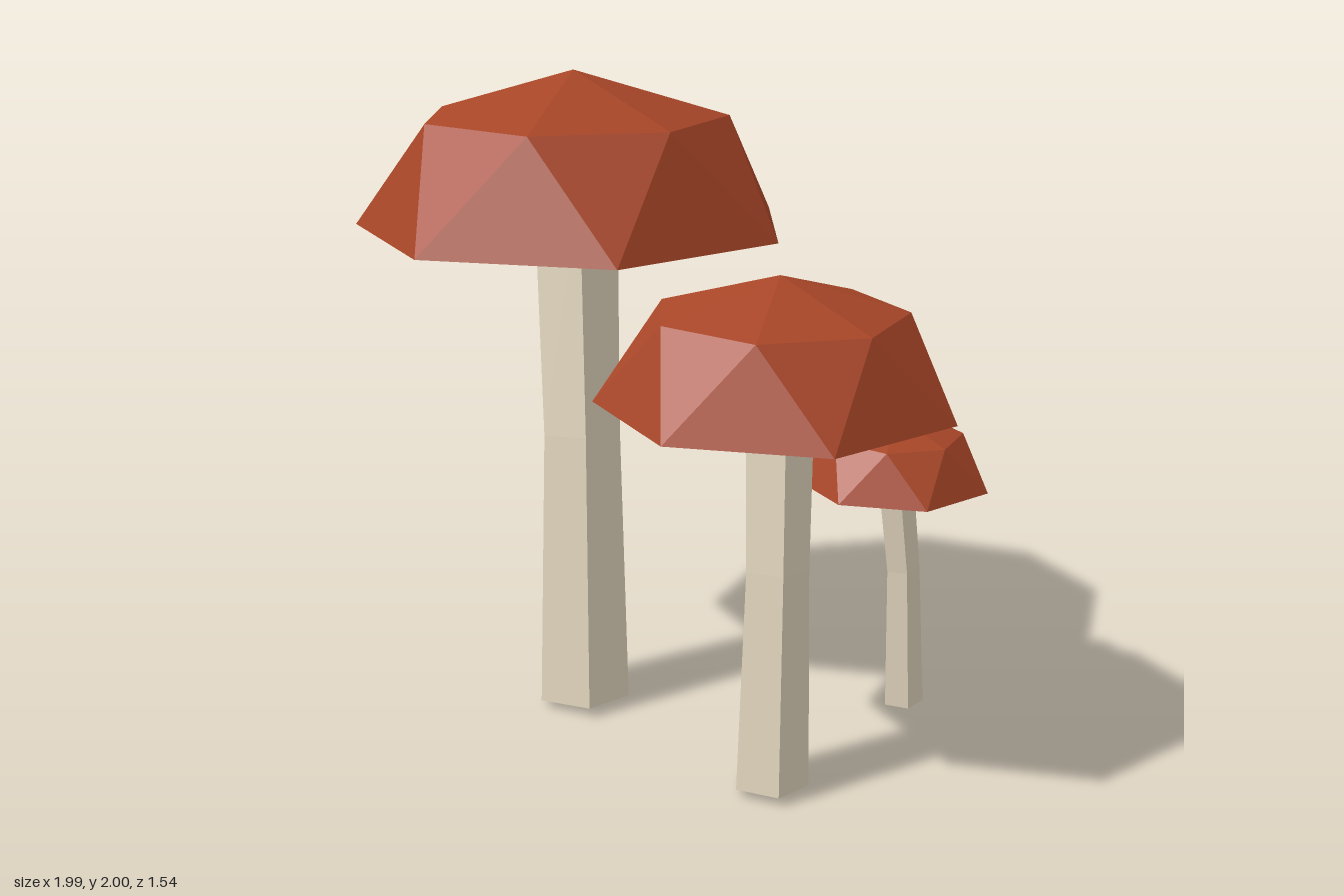
import * as THREE from 'three';

const capRed = new THREE.MeshStandardMaterial({ color: 0xa84628 });
capRed.name = 'cap red';
// Stems are open tubes, so both sides show
const stemCream = new THREE.MeshStandardMaterial({ color: 0xe2d6be, side: THREE.DoubleSide });
stemCream.name = 'stem cream';

// Flat-shaded mesh from a list of triangle corners
function facetMesh(name, points, material) {
  const geometry = new THREE.BufferGeometry().setFromPoints(points);
  geometry.computeVertexNormals();
  const mesh = new THREE.Mesh(geometry, material);
  mesh.name = name;
  return mesh;
}

// Regular polygon around a centre, sheared so it sits square to a leaning axis
function ring(center, radius, sides, start, slopeX = 0, slopeZ = 0) {
  return Array.from({ length: sides }, (_, i) => {
    const a = start + (i / sides) * Math.PI * 2;
    const x = Math.cos(a) * radius, z = Math.sin(a) * radius;
    return new THREE.Vector3(center.x + x, center.y - slopeX * x - slopeZ * z, center.z + z);
  });
}

// Seven-sided faceted dome with a shallow hollow underside
function addCap(group, x, y, z, R) {
  const n = 7;
  const rim = ring(new THREE.Vector3(x, y, z), R, n, 0);
  const upper = ring(new THREE.Vector3(x, y + 0.495 * R, z), 0.697 * R, n, Math.PI / n);
  const apex = new THREE.Vector3(x, y + 0.696 * R, z);
  const hollow = new THREE.Vector3(x, y + 0.14 * R, z);
  const dome = [], under = [];
  for (let i = 0; i < n; i++) {
    const j = (i + 1) % n;
    dome.push(rim[i], upper[i], rim[j]);
    dome.push(upper[i], upper[j], rim[j]);
    dome.push(upper[i], apex, upper[j]);
    under.push(rim[i], rim[j], hollow);
  }
  group.add(facetMesh('cap', dome, capRed), facetMesh('gills', under, stemCream));
}

// Five-sided bent open stem through [x, y, z, radius] stations
function addStem(group, stations) {
  const n = 5;
  const centers = stations.map(([x, y, z]) => new THREE.Vector3(x, y, z));
  const rings = centers.map((c, k) => {
    const a = centers[Math.max(k - 1, 0)], b = centers[Math.min(k + 1, centers.length - 1)];
    const d = b.clone().sub(a);
    return ring(c, stations[k][3], n, -Math.PI / 2, d.x / d.y, d.z / d.y);
  });
  const points = [];
  for (let k = 0; k < rings.length - 1; k++) {
    const lo = rings[k], hi = rings[k + 1];
    for (let i = 0; i < n; i++) {
      const j = (i + 1) % n;
      points.push(lo[i], hi[i], lo[j], lo[j], hi[i], hi[j]);
    }
  }
  group.add(facetMesh('stem', points, stemCream));
}

const mushrooms = [
  {
    name: 'largeMushroom', cap: [-0.377, 1.52, -0.1, 0.691],
    stem: [[-0.257, 0.018, 0.11, 0.149], [-0.30, 0.88, 0.025, 0.126], [-0.377, 1.62, -0.095, 0.137]],
  },
  {
    name: 'mediumMushroom', cap: [0.466, 1.141, 0.25, 0.528],
    stem: [[0.522, 0.02, 0.397, 0.114], [0.503, 0.67, 0.337, 0.097], [0.466, 1.22, 0.255, 0.106]],
  },
  {
    name: 'smallMushroom', cap: [0.645, 0.777, -0.26, 0.303],
    stem: [[0.691, 0.018, -0.3, 0.066], [0.678, 0.48, -0.284, 0.055], [0.645, 0.825, -0.26, 0.059]],
  },
];

export function createModel() {
  const model = new THREE.Group();
  model.name = 'mushroomCluster';
  for (const { name, cap, stem } of mushrooms) {
    const group = new THREE.Group();
    group.name = name;
    addCap(group, ...cap);
    addStem(group, stem);
    model.add(group);
  }
  return model;
}
